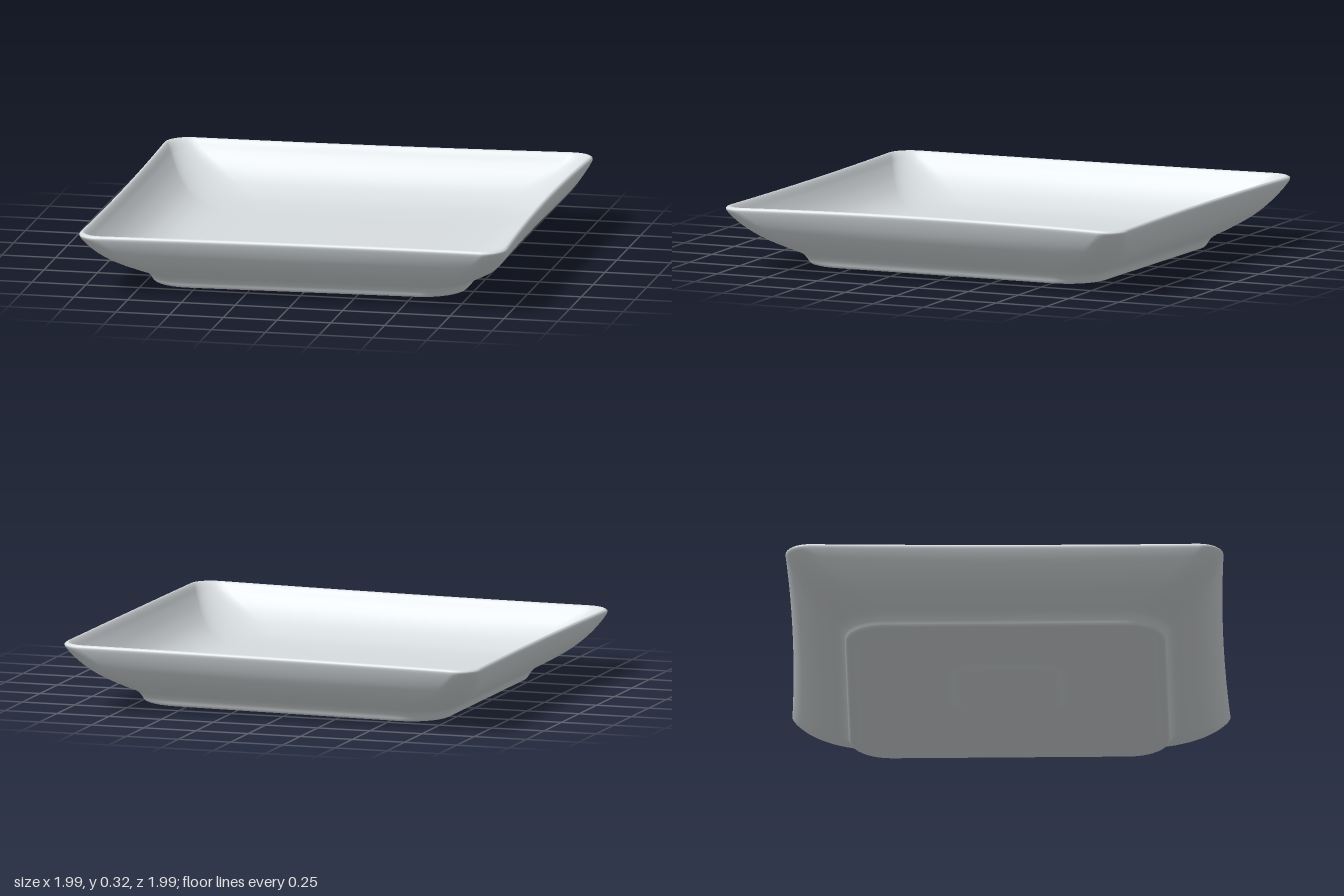
import * as THREE from 'three';

// Cross-section from the inner centre, over the rim, to the underside centre:
// [half width, height, corner radius]
const PROFILE = [
  [0, 0.082, 0], [0.35, 0.083, 0.1], [0.6, 0.087, 0.18], [0.74, 0.102, 0.2], [0.83, 0.137, 0.2],
  [0.9, 0.192, 0.17], [0.95, 0.252, 0.13], [0.977, 0.294, 0.11], [0.988, 0.302, 0.11], [0.999, 0.293, 0.11],
  [0.995, 0.274, 0.12], [0.955, 0.206, 0.16], [0.895, 0.144, 0.19], [0.81, 0.089, 0.2], [0.755, 0.058, 0.19],
  [0.735, 0.034, 0.18], [0.724, 0.013, 0.18], [0.714, 0.008, 0.18], [0.697, 0.009, 0.17], [0.66, 0.02, 0.17],
  [0.58, 0.028, 0.15], [0.32, 0.034, 0.12], [0.275, 0.034, 0.12], [0.22, 0.012, 0.07], [0.195, 0.01, 0.06], [0, 0.01, 0],
];
const SIDE = 14, CORNER = 8;

// Points around a rounded square
function roundedSquare(half, radius) {
  const pts = [], flat = half - radius;
  for (let q = 0; q < 4; q++) {
    const c = Math.cos(q * Math.PI / 2), s = Math.sin(q * Math.PI / 2);
    const add = (x, z) => pts.push([x * c - z * s, x * s + z * c]);
    for (let i = 0; i < SIDE; i++) add(half, flat * (2 * i / SIDE - 1));
    for (let i = 0; i < CORNER; i++) {
      const a = i / CORNER * Math.PI / 2;
      add(flat + radius * Math.cos(a), flat + radius * Math.sin(a));
    }
  }
  return pts;
}

function dishGeometry() {
  const curve = new THREE.CatmullRomCurve3(PROFILE.map(p => new THREE.Vector3(...p)));
  const rings = curve.getPoints((PROFILE.length - 1) * 4);
  const n = 4 * (SIDE + CORNER), pos = [], index = [];
  rings.forEach((ring, k) => {
    const half = Math.max(0, ring.x), radius = THREE.MathUtils.clamp(ring.z, 0, half);
    const lift = THREE.MathUtils.smoothstep(ring.y, 0.04, 0.3);
    for (const [x, z] of roundedSquare(half, radius)) {
      // Hand-formed irregularity: bowed-in sides and a slight tilt
      const bowX = 1 - (x < 0 ? 0.014 : 0.022) * lift * (1 - z * z);
      const bowZ = 1 - 0.022 * lift * (1 - x * x);
      const bulge = 0.012 * lift * Math.max(0, x) * (1 - z * z);
      pos.push(x * bowX, ring.y + 0.01 * x - 0.007 * lift * z + bulge, z * bowZ);
    }
    if (k === rings.length - 1) return;
    for (let j = 0; j < n; j++) {
      const a = k * n + j, b = a + n, c = k * n + (j + 1) % n, d = c + n;
      if (k > 0) index.push(a, c, b);
      if (k < rings.length - 2) index.push(c, d, b);
    }
  });
  const geo = new THREE.BufferGeometry();
  geo.setAttribute('position', new THREE.Float32BufferAttribute(pos, 3));
  geo.setIndex(index);
  geo.computeVertexNormals();
  // The centre points share one straight normal
  const normal = geo.attributes.normal, last = (rings.length - 1) * n;
  for (let j = 0; j < n; j++) {
    normal.setXYZ(j, 0, 1, 0);
    normal.setXYZ(last + j, 0, -1, 0);
  }
  return geo;
}

export function createModel() {
  const group = new THREE.Group();
  group.name = 'squareDish';
  const glaze = new THREE.MeshStandardMaterial({ color: 0xd8dde0 });
  glaze.name = 'paleGreyGlaze';
  const dish = new THREE.Mesh(dishGeometry(), glaze);
  dish.name = 'dish';
  group.add(dish);
  return group;
}
